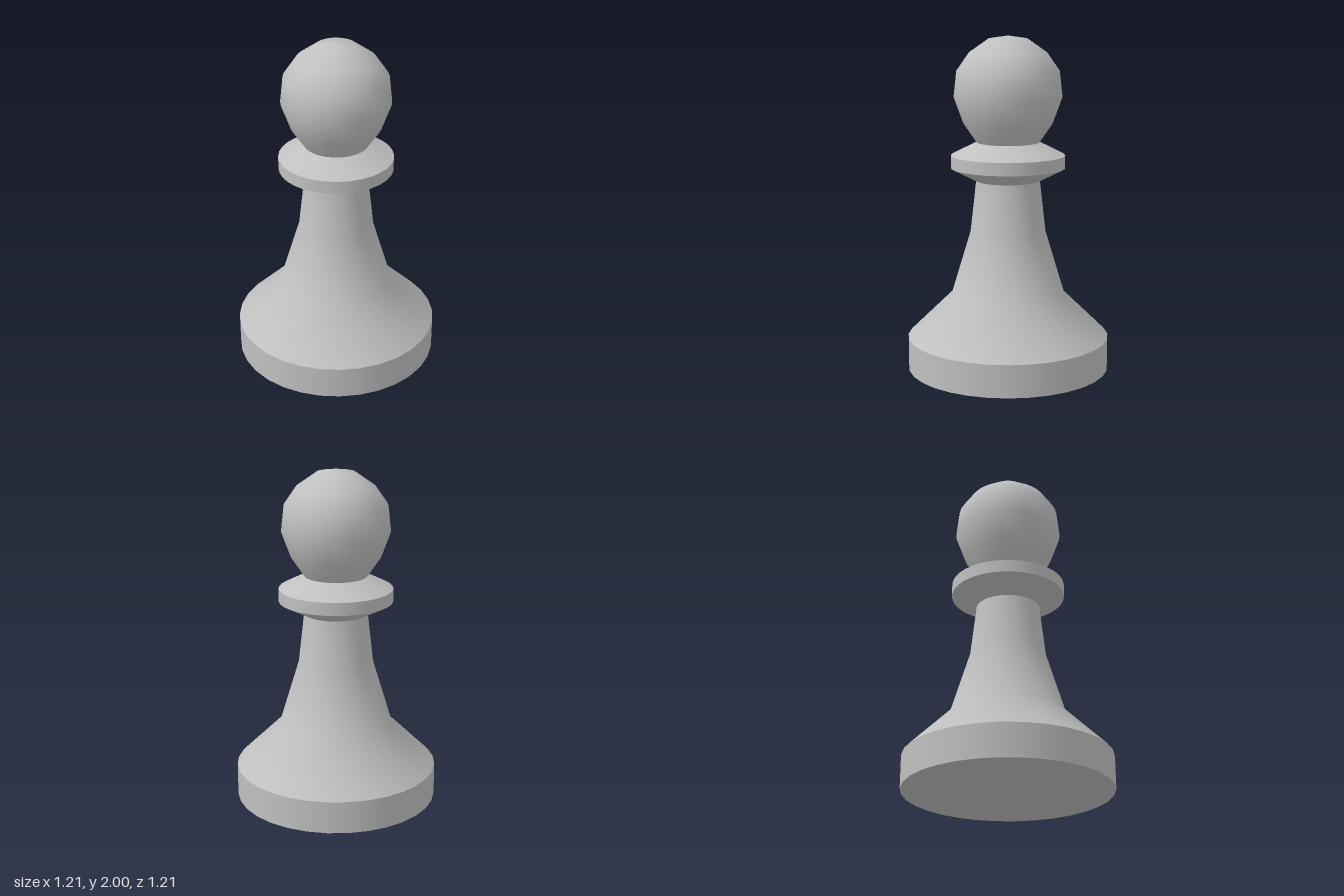
import * as THREE from 'three';

const SEGMENTS = 32;

export function createModel() {
  const group = new THREE.Group();
  group.name = 'pawn';

  const grey = new THREE.MeshStandardMaterial({ color: 0xc0c0c0 });
  grey.name = 'grey';

  // Smooth turned section; separate sections meet in sharp edges
  const turn = (name, profile) => {
    const points = profile.map(([r, y]) => new THREE.Vector2(r, y));
    const mesh = new THREE.Mesh(new THREE.LatheGeometry(points, SEGMENTS), grey);
    mesh.name = name;
    group.add(mesh);
  };

  // Foot disc
  turn('baseUnderside', [[0, 0], [0.607, 0]]);
  turn('baseRim', [[0.607, 0], [0.607, 0.195]]);

  // Flared stem
  turn('stem', [[0.607, 0.195], [0.34, 0.457], [0.225, 0.837], [0.19, 1.145]]);

  // Collar
  turn('collarUnderside', [[0.19, 1.145], [0.34, 1.222]]);
  turn('collarRim', [[0.34, 1.222], [0.34, 1.298]]);
  turn('collarTop', [[0.34, 1.298], [0.188, 1.375]]);

  // Rounded head
  turn('head', [
    [0.188, 1.375], [0.265, 1.488], [0.321, 1.642], [0.304, 1.795],
    [0.229, 1.903], [0.113, 1.984], [0, 2],
  ]);

  return group;
}
